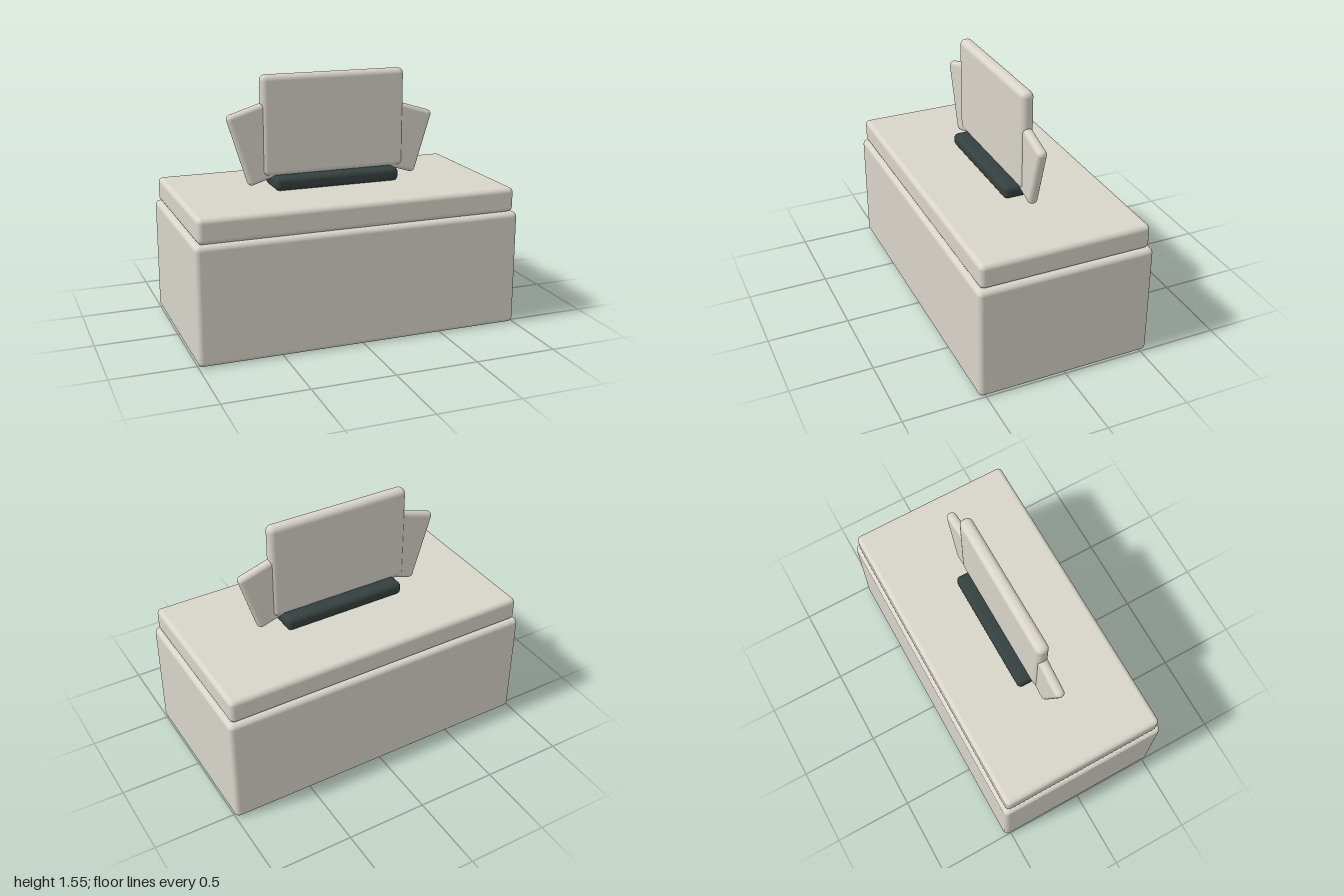
import * as THREE from 'three';
import { RoundedBoxGeometry } from 'three/addons/geometries/RoundedBoxGeometry.js';

export function createModel() {
  const model = new THREE.Group();
  model.name = 'tissueBox';

  const card = new THREE.MeshStandardMaterial({ name: 'warmGrey', color: 0xd8d4ca });
  const dark = new THREE.MeshStandardMaterial({ name: 'darkSlate', color: 0x34403f });

  // Rounded block placed by its centre, optionally tilted about z
  function block(name, material, size, radius, position, tilt = 0) {
    const mesh = new THREE.Mesh(new RoundedBoxGeometry(...size, 3, radius), material);
    mesh.name = name;
    mesh.position.set(...position);
    mesh.rotation.z = tilt;
    model.add(mesh);
  }

  // Box, lid and opening
  block('body', card, [2, 0.71, 1.08], 0.03, [0, 0.355, 0]);
  block('lid', card, [1.958, 0.15, 1.04], 0.03, [0, 0.785, 0]);
  block('slot', dark, [0.795, 0.082, 0.23], 0.03, [0, 0.902, 0]);

  // Tissue sheet with a tilted fold on each side
  block('tissueSheet', card, [0.916, 0.612, 0.08], 0.035, [0, 1.243, 0]);
  block('rightFold', card, [0.34, 0.455, 0.06], 0.028, [-0.441, 1.148, 0], 0.3);
  block('leftFold', card, [0.34, 0.405, 0.06], 0.028, [0.439, 1.123, 0], -0.3);

  return model;
}
